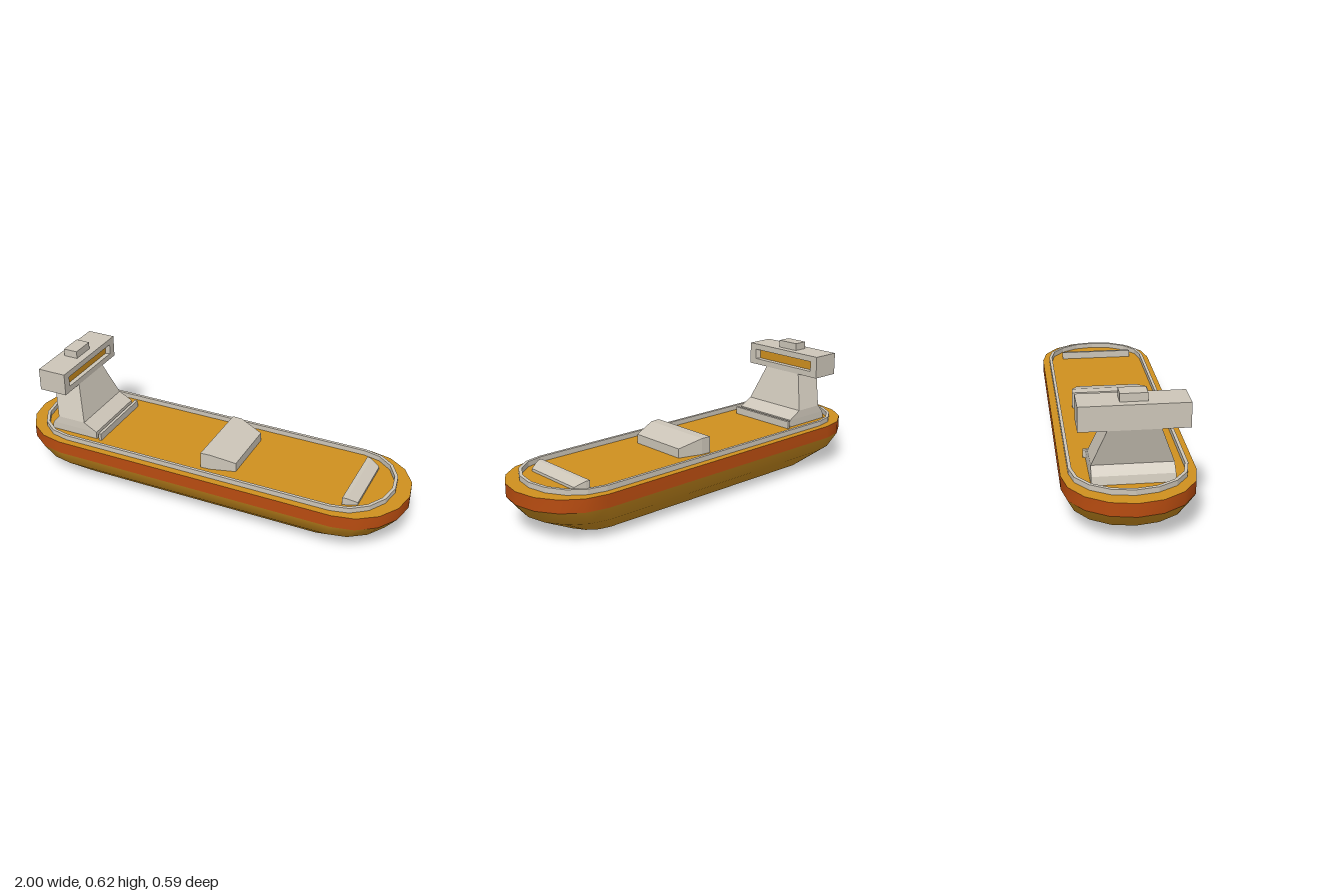
import * as THREE from 'three';

const mat = (name, color) => new THREE.MeshStandardMaterial({ name, color, side: THREE.DoubleSide });

// Skin a list of closed cross-sections; caps and flat facets are optional.
function loft(rings, { start = true, end = true, flat = true } = {}) {
  const n = rings[0].length, index = [];
  for (let r = 0; r < rings.length - 1; r++) {
    for (let i = 0; i < n; i++) {
      const j = (i + 1) % n, a = r * n + i, b = r * n + j;
      index.push(a, b, b + n, a, b + n, a + n);
    }
  }
  const last = (rings.length - 1) * n;
  for (let i = 1; i < n - 1; i++) {
    if (start) index.push(0, i + 1, i);
    if (end) index.push(last, last + i, last + i + 1);
  }
  let geo = new THREE.BufferGeometry();
  geo.setAttribute('position', new THREE.Float32BufferAttribute(rings.flat(2), 3));
  geo.setIndex(index);
  if (flat) geo = geo.toNonIndexed();
  geo.computeVertexNormals();
  return geo;
}

// Long outline with eight-sided round ends: straight half length cx, end radii a and b.
function outline(y, cx, a, b) {
  const pts = [];
  for (const side of [1, -1]) {
    for (let i = 0; i <= 8; i++) {
      const t = -Math.PI / 2 + (i * Math.PI) / 8;
      pts.push([side * (cx + a * Math.cos(t)), y, -side * b * Math.sin(t)]);
    }
  }
  return pts;
}

// Rectangular section across x, and rectangular section across y.
const sectionX = (x, half, y0, y1, zc = 0.004) => [
  [x, y0, zc + half], [x, y0, zc - half], [x, y1, zc - half], [x, y1, zc + half]];
const sectionY = (y, x0, x1, half, zc = 0.007) => [
  [x1, y, zc + half], [x1, y, zc - half], [x0, y, zc - half], [x0, y, zc + half]];

export function createModel() {
  const ship = new THREE.Group();
  ship.name = 'ship';
  const yellow = mat('ochreYellow', 0xd0901f);
  const orange = mat('rustOrange', 0xb84c10);
  const grey = mat('warmGrey', 0xcdc6b9);

  const add = (name, geo, material, parent = ship) => {
    const mesh = new THREE.Mesh(geo, material);
    mesh.name = name;
    parent.add(mesh);
    return mesh;
  };

  // Hull shell, open at the bottom
  const open = { start: false, end: false, flat: false };
  add('lowerHull', loft([
    outline(0, 0.61, 0.15, 0.16),
    outline(0.09, 0.69, 0.25, 0.263),
    outline(0.162, 0.72, 0.28, 0.295),
  ], open), yellow);
  add('hullBand', loft([
    outline(0.162, 0.72, 0.28, 0.295),
    outline(0.225, 0.72, 0.28, 0.295),
  ], open), orange);

  // Deck sheet
  const deckShape = new THREE.Shape(
    outline(0, 0.72, 0.28, 0.295).map(([x, , z]) => new THREE.Vector2(x, -z)));
  const deck = new THREE.ShapeGeometry(deckShape);
  deck.rotateX(-Math.PI / 2).translate(0, 0.225, 0);
  add('deck', deck, yellow);

  // Low wall around the deck
  add('deckRail', loft([
    outline(0.225, 0.7, 0.23, 0.261),
    outline(0.25, 0.7, 0.23, 0.261),
    outline(0.25, 0.7, 0.214, 0.246),
    outline(0.225, 0.7, 0.214, 0.246),
  ], { start: false, end: false }), grey);

  // Wedge-shaped deck housings
  add('middleHousing', loft([
    sectionX(0.02, 0.19, 0.22, 0.305),
    sectionX(0.07, 0.187, 0.22, 0.305),
    sectionX(0.19, 0.153, 0.22, 0.271),
  ]), grey);
  add('bowHousing', loft([
    sectionX(0.735, 0.188, 0.222, 0.262),
    sectionX(0.755, 0.184, 0.222, 0.26),
    sectionX(0.803, 0.162, 0.222, 0.238),
  ]), grey);
  add('breakwater', loft([
    sectionX(-0.55, 0.188, 0.222, 0.262),
    sectionX(-0.535, 0.188, 0.222, 0.262),
  ]), grey);

  // Bridge tower
  const tower = new THREE.Group();
  tower.name = 'bridgeTower';
  ship.add(tower);
  add('towerBase', loft([
    sectionY(0.22, -0.828, -0.565, 0.18),
    sectionY(0.262, -0.818, -0.565, 0.18),
    sectionY(0.3, -0.785, -0.635, 0.178),
  ]), grey, tower);
  add('towerColumn', loft([
    sectionY(0.3, -0.785, -0.635, 0.178),
    sectionY(0.475, -0.835, -0.69, 0.114),
  ]), grey, tower);

  // Bridge with a recessed front window
  add('bridge', loft([
    sectionX(-0.835, 0.236, 0.475, 0.587, 0.007),
    sectionX(-0.69, 0.236, 0.475, 0.587, 0.007),
    sectionX(-0.69, 0.195, 0.505, 0.557, 0.007),
    sectionX(-0.71, 0.182, 0.508, 0.553, 0.007),
  ], { end: false }), grey, tower);
  add('bridgeWindow', loft([
    sectionX(-0.714, 0.182, 0.508, 0.553, 0.007),
    sectionX(-0.71, 0.182, 0.508, 0.553, 0.007),
  ]), yellow, tower);
  add('roofBox', loft([
    sectionY(0.587, -0.8, -0.727, 0.059),
    sectionY(0.624, -0.8, -0.727, 0.059),
  ]), grey, tower);

  return ship;
}
